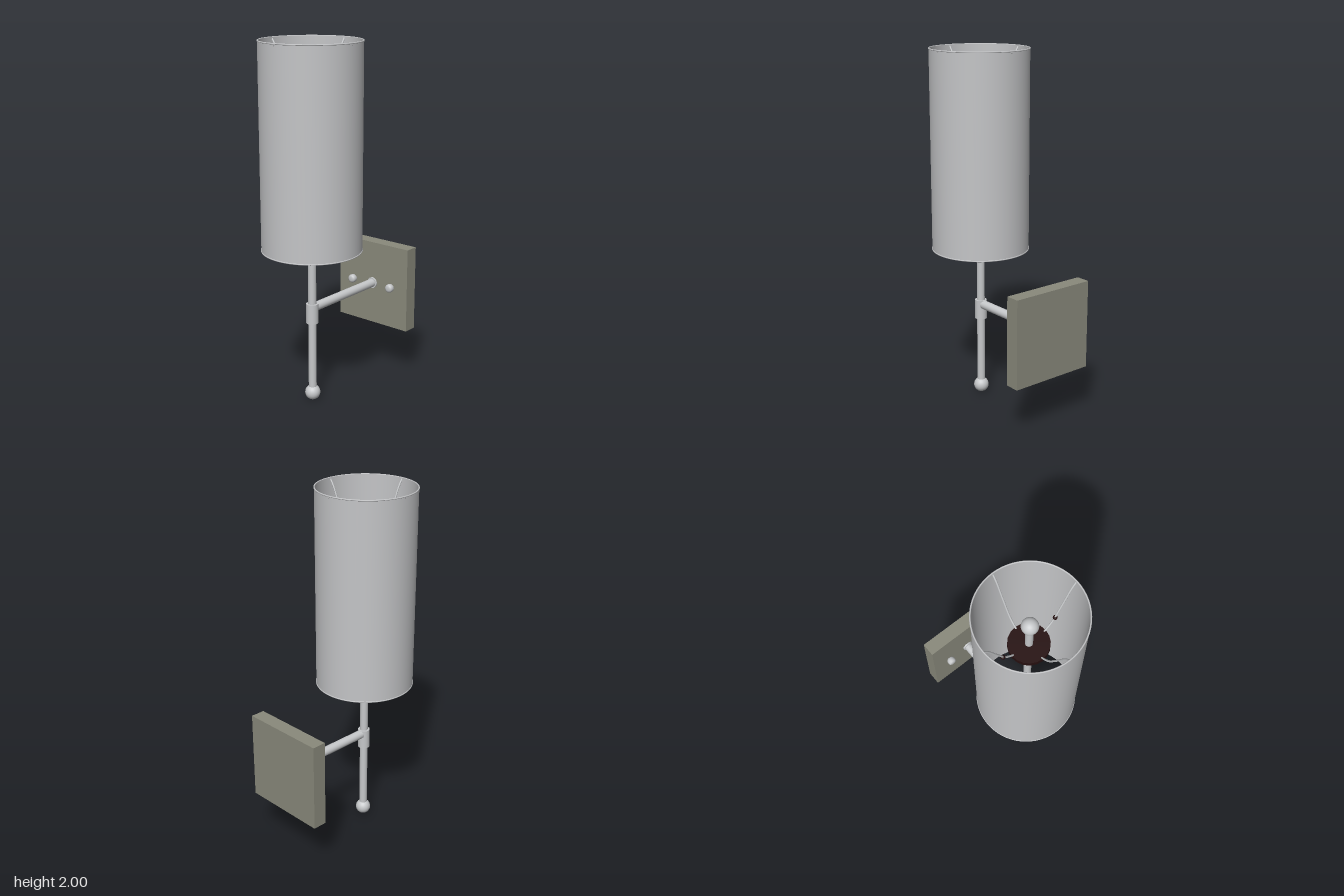
import * as THREE from 'three';

const AXIS_Z = 0.172; // vertical axis of stem and shade

export function createModel() {
  const material = (name, color) => {
    const m = new THREE.MeshStandardMaterial({ color });
    m.name = name;
    return m;
  };
  const metal = material('satin metal', 0xc6c8ca);
  const shadeGrey = material('shade grey', 0xc4c5c7);
  const stone = material('olive grey plate', 0x8a8a7c);
  const dark = material('dark brown', 0x260f0f);

  const model = new THREE.Group();
  model.name = 'wallLamp';
  const lamp = new THREE.Group();
  lamp.name = 'lampColumn';
  lamp.position.z = AXIS_Z;
  model.add(lamp);

  const add = (parent, name, geometry, mat, x = 0, y = 0, z = 0) => {
    const mesh = new THREE.Mesh(geometry, mat);
    mesh.name = name;
    mesh.position.set(x, y, z);
    parent.add(mesh);
    return mesh;
  };
  // Upright cylinder between two heights on the lamp axis
  const post = (name, r, y0, y1, mat) =>
    add(lamp, name, new THREE.CylinderGeometry(r, r, y1 - y0, 24), mat, 0, (y0 + y1) / 2);

  // Wall plate
  add(model, 'wallPlate', new THREE.BoxGeometry(0.494, 0.495, 0.08), stone, 0, 0.5475, -0.41);

  // Rounded mounting knobs on the plate
  const knobProfile = [[0.018, 0], [0.024, 0.008], [0.025, 0.024], [0.021, 0.033], [0.012, 0.037], [0, 0.037]]
    .map(([r, h]) => new THREE.Vector2(r, h));
  for (const side of [-1, 1]) {
    const knob = add(model, 'plateKnob', new THREE.LatheGeometry(knobProfile, 20), metal, side * 0.137, 0.547, -0.37);
    knob.rotation.x = Math.PI / 2;
  }

  // Horizontal arm with its flange
  const arm = add(model, 'arm', new THREE.CylinderGeometry(0.025, 0.025, 0.542, 24), metal, 0, 0.547, -0.099);
  arm.rotation.x = Math.PI / 2;
  const flange = add(model, 'armFlange', new THREE.CylinderGeometry(0.032, 0.032, 0.01, 24), metal, 0, 0.547, -0.365);
  flange.rotation.x = Math.PI / 2;

  // Stem, sleeve, socket and end balls
  post('stem', 0.0225, 0.05, 1.03, metal);
  post('sleeve', 0.034, 0.46, 0.572, metal);
  post('socket', 0.029, 0.94, 1.12, metal);
  post('innerPost', 0.02, 1.12, 1.86, metal);
  add(lamp, 'bottomBall', new THREE.SphereGeometry(0.043, 24, 16), metal, 0, 0.043);
  add(lamp, 'finialBall', new THREE.SphereGeometry(0.043, 24, 16), metal, 0, 1.876);

  // Dark hub that carries the shade wires
  add(lamp, 'hub', new THREE.CylinderGeometry(0.105, 0.105, 0.03, 20), dark, 0, 1.65);

  // Four curved wires from hub to shade rim
  const wire = new THREE.CatmullRomCurve3([[0.09, 1.655], [0.14, 1.71], [0.195, 1.83], [0.245, 1.95], [0.27, 1.99]]
    .map(([r, y]) => new THREE.Vector3(r, y, 0)));
  const wireGeometry = new THREE.TubeGeometry(wire, 20, 0.005, 8);
  for (let i = 0; i < 4; i++) {
    add(lamp, 'shadeWire', wireGeometry, metal).rotation.y = i * Math.PI / 2;
  }
  for (const side of [-1, 1]) {
    add(lamp, 'wireBead', new THREE.SphereGeometry(0.012, 12, 8), dark, side * 0.16, 1.74);
  }

  // Thin open shade: outer wall up, inner wall down
  const walls = [[[0.272, 0.885], [0.272, 1.997]], [[0.267, 1.997], [0.267, 0.885]]];
  for (const wall of walls) {
    const points = wall.map(([r, y]) => new THREE.Vector2(r, y));
    add(lamp, 'shadeWall', new THREE.LatheGeometry(points, 64), shadeGrey);
  }

  // Rolled rims
  for (const y of [0.885, 1.996]) {
    const rim = add(lamp, 'shadeRim', new THREE.TorusGeometry(0.271, 0.004, 8, 64), shadeGrey, 0, y);
    rim.rotation.x = Math.PI / 2;
  }

  return model;
}
